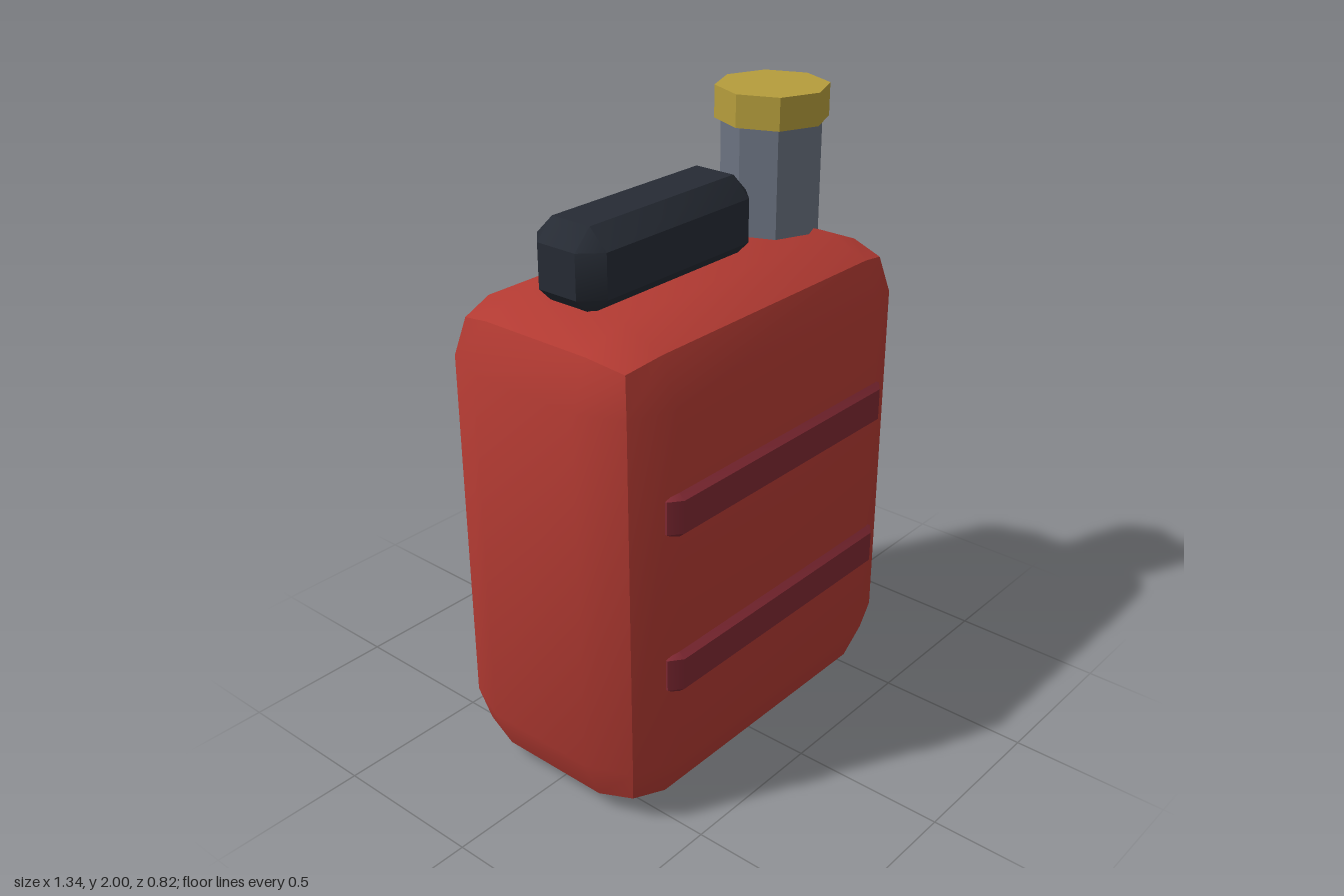
import * as THREE from 'three';
import { toCreasedNormals } from 'three/addons/utils/BufferGeometryUtils.js';
import { RoundedBoxGeometry } from 'three/addons/geometries/RoundedBoxGeometry.js';
import { ConvexGeometry } from 'three/addons/geometries/ConvexGeometry.js';

const CREASE = 0.7;

// Box with every edge cut by a single chamfer; inset is given per axis
function chamferBox(size, inset) {
  const points = [];
  for (const sx of [-1, 1]) for (const sy of [-1, 1]) for (const sz of [-1, 1]) {
    const sign = [sx, sy, sz];
    for (let face = 0; face < 3; face++) {
      points.push(new THREE.Vector3(...sign.map((s, i) =>
        s * (size[i] / 2 - (i === face ? 0 : inset[i])))));
    }
  }
  return toCreasedNormals(new ConvexGeometry(points), CREASE);
}

export function createModel() {
  const model = new THREE.Group();
  model.name = 'fuelCan';

  function add(name, geometry, color, x, y, z, flatShading = false) {
    const mesh = new THREE.Mesh(geometry, new THREE.MeshStandardMaterial({ color, flatShading }));
    mesh.name = name;
    mesh.position.set(x, y, z);
    model.add(mesh);
  }

  // Can body with two-step rounded edges
  const body = toCreasedNormals(new RoundedBoxGeometry(1.34, 1.56, 0.78, 1, 0.2), CREASE);
  add('body', body, 0xb23a32, 0, 0.78, 0);

  // Two raised ribs on the front and the back
  const rib = chamferBox([1.02, 0.155, 0.1], [0.04, 0.026, 0.03]);
  for (const [side, z] of [['front', 0.36], ['back', -0.36]]) {
    add(side + 'UpperRib', rib, 0x7f2832, 0, 1.042, z);
    add(side + 'LowerRib', rib, 0x7f2832, 0, 0.523, z);
  }

  // Carrying handle
  add('handle', chamferBox([0.725, 0.255, 0.26], [0.06, 0.06, 0.06]), 0x262b34, -0.157, 1.667, 0);

  // Spout and its cap, both eight-sided
  add('spout', new THREE.CylinderGeometry(0.155, 0.155, 0.45, 8), 0x6b7280, 0.415, 1.695, 0, true);
  add('cap', new THREE.CylinderGeometry(0.175, 0.175, 0.1, 8), 0xb59d3c, 0.415, 1.95, 0, true);

  return model;
}
